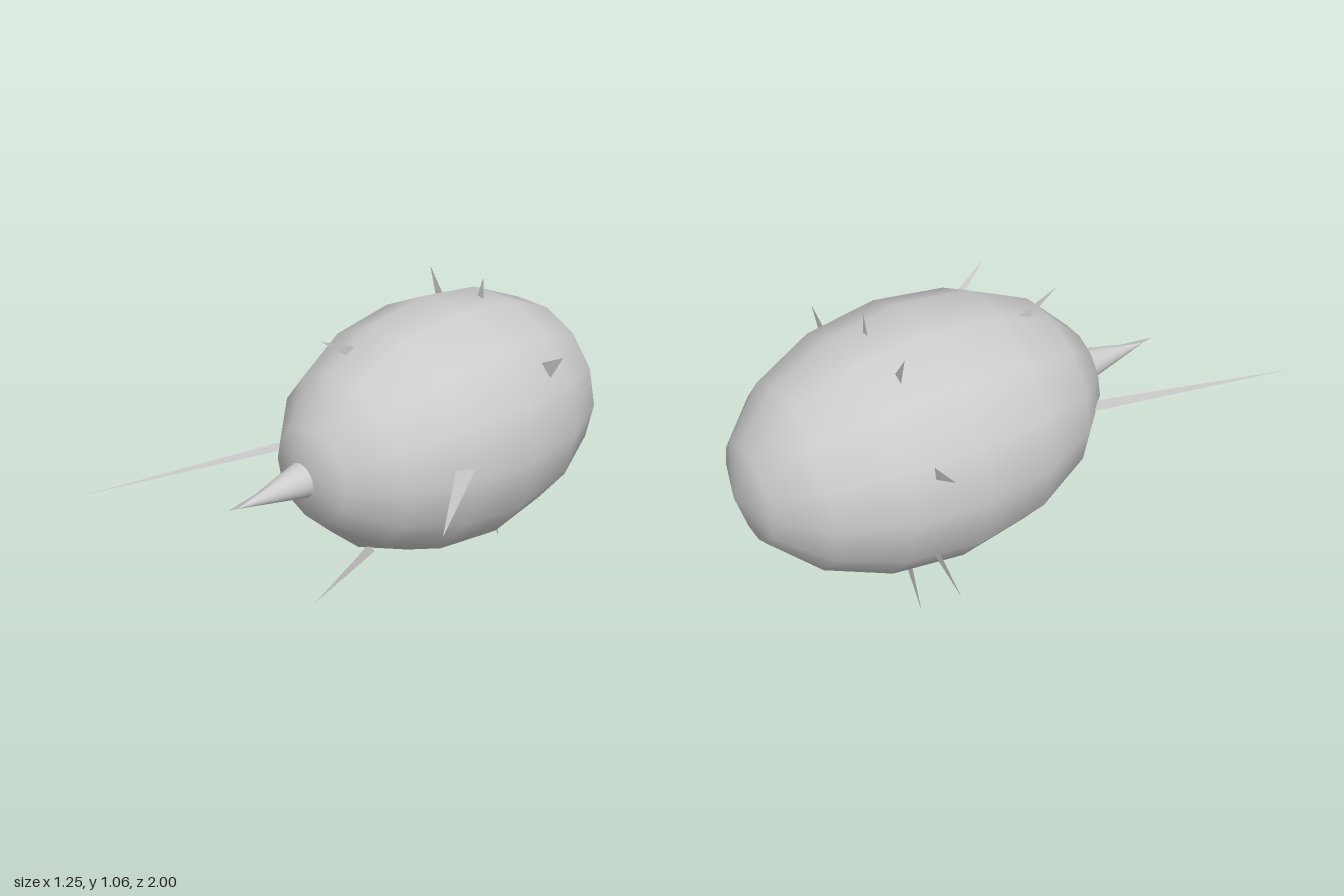
import * as THREE from 'three';

export function createModel() {
  const model = new THREE.Group();
  const grey = new THREE.MeshStandardMaterial({ color: 0xcccccc, side: THREE.DoubleSide });
  grey.name = 'light grey';
  const cx = -0.073, cy = 0.545, cz = -0.305;

  const add = (name, geometry) => {
    const mesh = new THREE.Mesh(geometry, grey);
    mesh.name = name;
    model.add(mesh);
    return mesh;
  };

  // Egg-shaped body, poles along z
  const egg = new THREE.SphereGeometry(0.465, 14, 8).rotateX(Math.PI / 2);
  egg.scale(1, 1, 0.692 / 0.465);
  add('body', egg).position.set(cx, cy, cz);

  // Snout cone at the front
  const snout = new THREE.ConeGeometry(0.064, 0.28, 32).rotateX(Math.PI / 2);
  add('snout', snout).position.set(cx, cy, 0.52);

  // Flat triangular spike: width is measured where it leaves the body,
  // and the base is sunk a little way in
  const spike = (name, tip, mid, width, normal, sink = 1.25) => {
    const t = new THREE.Vector3(...tip);
    const dir = new THREE.Vector3(...mid).sub(t);
    const base = t.clone().addScaledVector(dir, sink);
    const side = new THREE.Vector3(...normal).cross(dir).normalize().multiplyScalar(width * sink / 2);
    const g = new THREE.BufferGeometry().setFromPoints([t, base.clone().add(side), base.clone().sub(side)]);
    g.computeVertexNormals();
    add(name, g);
  };

  // Ring of spikes around the back half: tip x, y, root x, y, width
  const ringZ = -0.475;
  const ring = [
    [0.353, 0.874, 0.293, 0.815, 0.05],
    [-0.037, 1.064, -0.045, 1.0, 0.024],
    [-0.305, 1.035, -0.267, 0.955, 0.032],
    [-0.606, 0.756, -0.495, 0.71, 0.038],
    [-0.63, 0.288, -0.49, 0.355, 0.042],
    [-0.357, 0.003, -0.287, 0.14, 0.045],
    [0.082, 0.028, 0.055, 0.1, 0.032],
    [0.28, 0.265, 0.2, 0.32, 0.03],
  ];
  for (const [tx, ty, rx, ry, w] of ring) {
    spike('ringSpike', [tx, ty, ringZ], [rx, ry, ringZ], w, [0, 0, 1]);
  }

  // Two long side spikes lying nearly level
  spike('rightLongSpike', [-0.5, 0.552, 1.0], [-0.305, 0.552, 0.29], 0.055, [0, 1, 0], 1.05);
  spike('leftLongSpike', [0.625, 0.63, 0.4], [0.34, 0.597, 0.0], 0.062, [0, 1, 0], 1.05);

  // Upright spikes near the front
  spike('topSpike', [-0.146, 0.988, 0.21], [-0.146, 0.917, 0.09], 0.035, [1, 0, 0]);
  spike('bottomSpike', [0.042, 0.12, 0.43], [0.042, 0.22, 0.18], 0.045, [1, 0, 0], 1.1);
  spike('snoutSpike', [cx, 0.553, 0.7], [cx, 0.547, 0.4], 0.1, [1, 0, 0], 1);

  return model;
}
